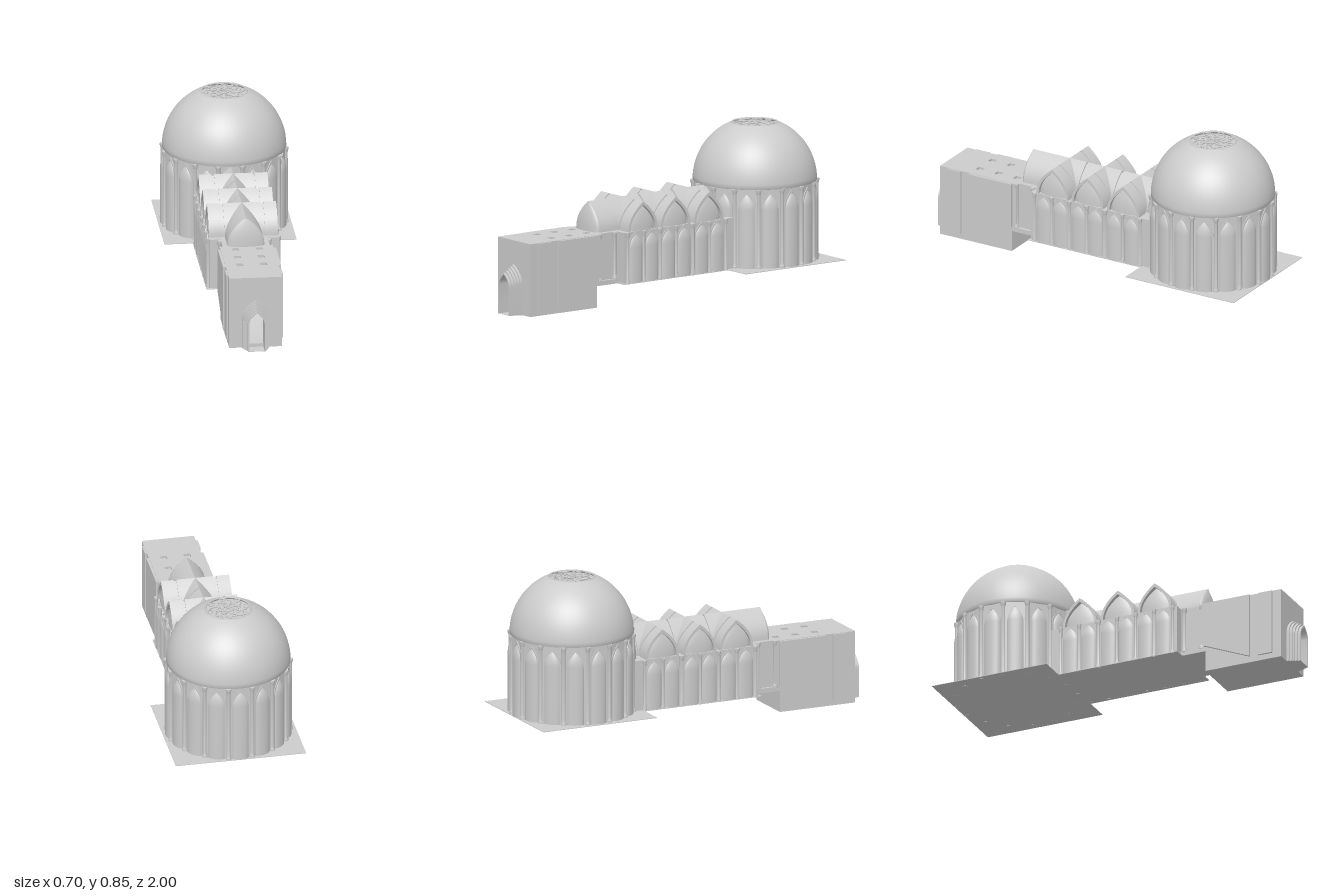
import * as THREE from 'three';
import { toCreasedNormals } from 'three/addons/utils/BufferGeometryUtils.js';

const material = new THREE.MeshStandardMaterial({ color: 0xcccccc, side: THREE.DoubleSide });

// Half-width of a pointed arch at height y (w: half-width, s: springing, h: apex)
const archWidth = (y, w, s, h) => (y <= s ? w : w * (1 - ((y - s) / (h - s)) ** 2.1));

// Outline of a pointed arch standing on y = y0
function archPoints(w, s, h, y0 = 0, n = 12) {
  const right = [new THREE.Vector2(w, y0)];
  for (let i = 0; i <= n; i++) {
    const y = s + (h - s) * Math.sin((i / n) * Math.PI / 2);
    right.push(new THREE.Vector2(archWidth(y, w, s, h), y));
  }
  const left = right.slice(0, -1).reverse().map(p => new THREE.Vector2(-p.x, p.y));
  return right.concat(left);
}

function extrude(points, depth, holes = []) {
  const shape = new THREE.Shape(points);
  holes.forEach(h => shape.holes.push(new THREE.Path(h)));
  return toCreasedNormals(new THREE.ExtrudeGeometry(shape, { depth, bevelEnabled: false }), 0.6);
}

// Extrusion of a [z, y] outline between x0 and x1
function sideExtrude(outline, x0, x1) {
  const g = extrude(outline.map(p => new THREE.Vector2(...p)), x1 - x0);
  return g.rotateY(-Math.PI / 2).translate(x1, 0, 0);
}

// Half-round niche back bulging to +z, closing in a pointed top
function nicheBulge(w, s, h, depth) {
  const pos = [], idx = [], rows = 12, cols = 14;
  for (let i = 0; i <= rows; i++) {
    const y = i === 0 ? 0 : s + (h - s) * Math.sin(((i - 1) / (rows - 1)) * Math.PI / 2);
    const r = archWidth(y, w, s, h);
    for (let j = 0; j <= cols; j++) {
      const a = (j / cols) * Math.PI;
      pos.push(r * Math.cos(a), y, depth * (r / w) * Math.sin(a));
      if (i < rows && j < cols) {
        const p = i * (cols + 1) + j, q = p + cols + 1;
        idx.push(p, q, p + 1, p + 1, q, q + 1);
      }
    }
  }
  const g = new THREE.BufferGeometry();
  g.setAttribute('position', new THREE.Float32BufferAttribute(pos, 3));
  g.setIndex(idx);
  g.computeVertexNormals();
  return g;
}

// Slim column with flared base and capital
function columnGeometry(r, h) {
  const profile = [[0, 0], [1.5, 0], [1.5, 0.012], [1.1, 0.022], [1, 0.03], [1, h - 0.03],
    [1.15, h - 0.022], [1.5, h - 0.01], [1.5, h], [0, h]];
  return toCreasedNormals(new THREE.LatheGeometry(profile.map(([x, y]) => new THREE.Vector2(x * r, y)), 12), 0.6);
}

export function createModel() {
  const model = new THREE.Group();
  const add = (name, geometry, parent = model) => {
    const m = new THREE.Mesh(geometry, material);
    m.name = name;
    parent.add(m);
    return m;
  };
  const box = (name, x0, x1, y0, y1, z0, z1, parent) =>
    add(name, new THREE.BoxGeometry(x1 - x0, y1 - y0, z1 - z0)
      .translate((x0 + x1) / 2, (y0 + y1) / 2, (z0 + z1) / 2), parent);

  const floorY = 0.115, springY = 0.39, ridgeY = 0.545;

  // Floor plates
  box('rotundaFloor', -0.35, 0.35, floorY, floorY + 0.003, -1, -0.335);
  box('hallFloor', -0.2, 0.2, floorY, floorY + 0.003, -0.335, 0.355);

  // Rotunda: sixteen-sided drum with a niche on each side and columns at the corners
  const rotunda = new THREE.Group();
  rotunda.name = 'rotunda';
  rotunda.position.z = -0.663;
  model.add(rotunda);
  const sides = 16, step = Math.PI * 2 / sides, drumH = 0.54 - floorY;
  add('drumWall', toCreasedNormals(new THREE.CylinderGeometry(0.325, 0.325, drumH, sides)
    .rotateY(step / 2).translate(0, floorY + drumH / 2, 0), 0.3), rotunda);
  const drumNiche = nicheBulge(0.044, 0.315, 0.4, 0.02);
  const drumFrame = extrude(archPoints(0.05, 0.32, 0.412), 0.005, [archPoints(0.042, 0.315, 0.398, 0.001)]);
  const drumColumn = columnGeometry(0.01, drumH + 0.001);
  for (let i = 0; i < sides; i++) {
    const bay = new THREE.Group();
    bay.name = 'drumBay';
    bay.rotation.y = i * step;
    rotunda.add(bay);
    for (const [n, g] of [['niche', drumNiche], ['nicheFrame', drumFrame]]) {
      add(n, g, bay).position.set(0, floorY, 0.318);
    }
    const a = (i + 0.5) * step;
    add('drumColumn', drumColumn, rotunda).position.set(0.326 * Math.sin(a), floorY - 0.001, 0.326 * Math.cos(a));
  }

  // Dome, cut off around the oculus
  const domeProfile = [new THREE.Vector2(0.318, 0.537)];
  const cut = Math.acos(0.125 / 0.328);
  for (let i = 0; i <= 16; i++) {
    const a = (i / 16) * cut;
    domeProfile.push(new THREE.Vector2(0.328 * Math.cos(a), 0.54 + 0.328 * Math.sin(a)));
  }
  add('dome', new THREE.LatheGeometry(domeProfile, 48), rotunda);

  // Oculus: dark recess, rim and whirling tracery
  const oculus = new THREE.Group();
  oculus.name = 'oculus';
  oculus.position.y = 0.842;
  rotunda.add(oculus);
  add('oculusDisc', new THREE.CylinderGeometry(0.122, 0.122, 0.004, 40).translate(0, -0.012, 0), oculus);
  const flatRing = (r, t) => new THREE.TorusGeometry(r, t, 6, 32).rotateX(Math.PI / 2);
  add('oculusRim', flatRing(0.121, 0.005), oculus);
  add('innerRing', flatRing(0.026, 0.004), oculus);
  add('hub', flatRing(0.01, 0.003), oculus);
  const blade = new THREE.TubeGeometry(new THREE.CatmullRomCurve3([[0.026, 0], [0.06, 0.028], [0.09, 0.02], [0.118, -0.02]]
    .map(([x, z]) => new THREE.Vector3(x, 0, z))), 14, 0.0035, 5);
  const roundel = flatRing(0.015, 0.003), smallRoundel = flatRing(0.009, 0.0025);
  for (let i = 0; i < 8; i++) {
    const a = i * Math.PI / 4, b = a + 0.12;
    add('blade', blade, oculus).rotation.y = a;
    add('roundel', roundel, oculus).position.set(0.1 * Math.cos(b), 0, -0.1 * Math.sin(b));
    add('smallRoundel', smallRoundel, oculus).position.set(0.058 * Math.cos(b), 0, -0.058 * Math.sin(b));
  }

  // Hall walls
  box('hallWalls', -0.184, 0.184, floorY, springY, -0.4, 0.345);
  const hallNiche = nicheBulge(0.044, 0.19, 0.268, 0.017);
  const hallFrame = extrude(archPoints(0.05, 0.192, 0.275), 0.005, [archPoints(0.042, 0.19, 0.262, 0.001)]);
  const hallColumn = columnGeometry(0.008, springY - floorY + 0.001);
  const archOuter = archPoints(0.098, springY, ridgeY, springY);
  const longVault = extrude(archOuter, 0.206).translate(0, 0, -0.103);
  const armVault = extrude(archOuter, 0.068, [archPoints(0.084, springY, ridgeY - 0.02, springY + 0.001)]);
  const armEnd = nicheBulge(0.085, 0.01, ridgeY - springY - 0.02, 0.022);
  const armRib = extrude(archPoints(0.093, springY, ridgeY - 0.008, springY), 0.02);

  // Three cross-vaulted bays
  for (const z of [0.215, 0, -0.22]) {
    const bay = new THREE.Group();
    bay.name = 'hallBay';
    bay.position.z = z;
    model.add(bay);
    add('longVault', longVault, bay);
    for (const side of [1, -1]) {
      const arm = new THREE.Group();
      arm.name = 'bayArm';
      arm.rotation.y = side * Math.PI / 2;
      bay.add(arm);
      add('crossVault', extrude(archPoints(0.098, springY, ridgeY, springY), 0.1), arm);
      add('armRib', armRib, arm).position.z = 0.098;
      add('armVault', armVault, arm).position.z = 0.115;
      add('armEnd', armEnd, arm).position.set(0, springY, 0.159);
      add('armBack', armRib, arm).position.z = 0.14;
      for (const x of [-0.052, 0.052]) {
        add('hallNiche', hallNiche, arm).position.set(x, floorY, 0.183);
        add('hallNicheFrame', hallFrame, arm).position.set(x, floorY, 0.183);
      }
      for (const x of [-0.107, 0, 0.107]) {
        add('hallColumn', hallColumn, arm).position.set(x, floorY - 0.001, 0.187);
      }
    }
  }
  // Ribs between the bays and the vault end over the entrance link
  const vaultRib = extrude(archPoints(0.093, springY, ridgeY - 0.01, springY), 0.03);
  for (const z of [0.1075, -0.11, -0.325]) add('vaultRib', vaultRib).position.z = z - 0.015;
  add('endVault', extrude(archOuter, 0.125)).position.z = 0.317;
  add('endApse', nicheBulge(0.098, 0.005, ridgeY - springY, 0.028)).position.set(0, springY, 0.44);

  // Link between hall and vestibule
  box('link', -0.125, 0.125, 0.13, springY, 0.34, 0.47);
  box('linkFloor', -0.14, 0.14, floorY, 0.14, 0.34, 0.49);
  for (const side of [1, -1]) {
    for (const z of [0.365, 0.465]) {
      add('linkColumn', columnGeometry(0.009, springY - 0.135)).position.set(side * 0.131, 0.135, z);
    }
  }

  // Vestibule: ramp, side walls following it, roof and front wall
  add('ramp', sideExtrude([[0.49, 0], [0.93, 0], [0.93, 0.02], [0.76, 0.025], [0.5, 0.135], [0.47, 0.135], [0.49, 0.115]], -0.14, 0.14));
  const wallOutline = [[0.93, 0.02], [0.93, springY], [0.46, springY], [0.46, 0.135], [0.5, 0.135], [0.76, 0.025]];
  const panelOutline = [[0.75, 0.032], [0.75, springY - 0.002], [0.485, springY - 0.002], [0.485, 0.142], [0.5, 0.137]];
  for (const side of [1, -1]) {
    const span = (a, b) => (side > 0 ? [a, b] : [-b, -a]);
    add('sideWall', sideExtrude(wallOutline, ...span(0.125, 0.14)));
    add('sidePanel', sideExtrude(panelOutline, ...span(0.139, 0.154)));
    box('sidePier', ...span(0.139, 0.15), 0.03, springY - 0.002, 0.8, 0.88);
  }

  // Roof with six square sunken lights
  const rect = (x0, x1, y0, y1) => [[x0, y0], [x1, y0], [x1, y1], [x0, y1]].map(p => new THREE.Vector2(...p));
  const lights = [];
  for (const x of [-0.063, 0.063]) {
    for (const z of [0.5, 0.615, 0.73]) lights.push(rect(x - 0.018, x + 0.018, z - 0.018, z + 0.018));
  }
  add('roof', extrude(rect(-0.14, 0.14, 0.455, 0.93), 0.014, lights).rotateX(Math.PI / 2).translate(0, springY, 0));
  box('roofLining', -0.125, 0.125, springY - 0.018, springY - 0.013, 0.46, 0.93);

  // Front wall and stepped pointed portal
  const door = archPoints(0.041, 0.15, 0.215, 0);
  const opening = door.map(p => new THREE.Vector2(p.x, Math.max(p.y, 0.001)));
  add('frontWall', extrude(rect(-0.14, 0.14, 0, springY), 0.015, [opening])).position.z = 0.916;
  for (let i = 0; i < 5; i++) {
    const w = 0.072 - i * 0.006, h = 0.262 - i * 0.0095;
    add('portalStep', extrude(archPoints(w, 0.165 - i * 0.003, h), 0.0145, [opening])).position.z = 0.93 + i * 0.0139;
  }
  return model;
}
